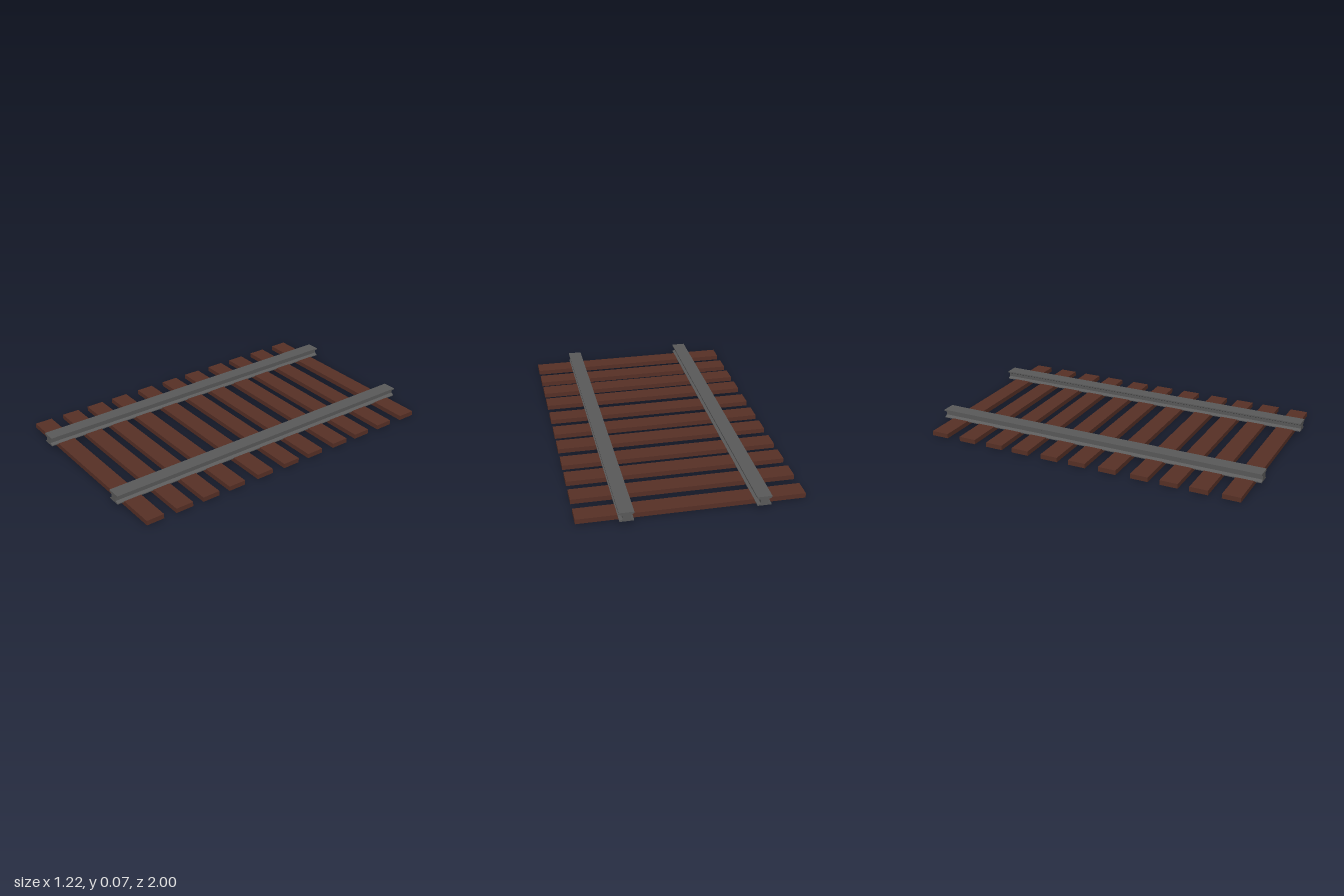
import * as THREE from 'three';

const SLEEPER_Z = [-0.89, -0.702, -0.521, -0.35, -0.163, 0.011, 0.197, 0.388, 0.559, 0.728, 0.908];
const RAIL_X = { leftRail: 0.356, rightRail: -0.367 };

// Right half of the I-shaped rail section, from foot to head
const HALF_SECTION = [
  [0.038, 0.022], [0.038, 0.027], [0.021, 0.036],
  [0.021, 0.056], [0.04, 0.066], [0.04, 0.074],
];

export function createModel() {
  const model = new THREE.Group();
  model.name = 'railwayTrack';
  const wood = new THREE.MeshStandardMaterial({ color: 0x573026, flatShading: true });
  const steel = new THREE.MeshStandardMaterial({ color: 0x5a5a5a, flatShading: true });

  // Wooden sleepers, slightly unevenly spaced
  const sleepers = new THREE.Group();
  sleepers.name = 'sleepers';
  const plank = new THREE.BoxGeometry(1.224, 0.027, 0.104);
  SLEEPER_Z.forEach((z, i) => {
    const sleeper = new THREE.Mesh(plank, wood);
    sleeper.name = `sleeper${i + 1}`;
    sleeper.position.set(0, 0.0135, z);
    sleepers.add(sleeper);
  });
  model.add(sleepers);

  // Steel rails: mirrored section extruded along the track
  const outline = [
    ...HALF_SECTION.map(([x, y]) => new THREE.Vector2(x, y)),
    ...HALF_SECTION.map(([x, y]) => new THREE.Vector2(-x, y)).reverse(),
  ];
  const railGeometry = new THREE.ExtrudeGeometry(new THREE.Shape(outline), { depth: 2, bevelEnabled: false });
  railGeometry.translate(0, 0, -1);
  for (const [name, x] of Object.entries(RAIL_X)) {
    const rail = new THREE.Mesh(railGeometry, steel);
    rail.name = name;
    rail.position.x = x;
    model.add(rail);
  }
  return model;
}
